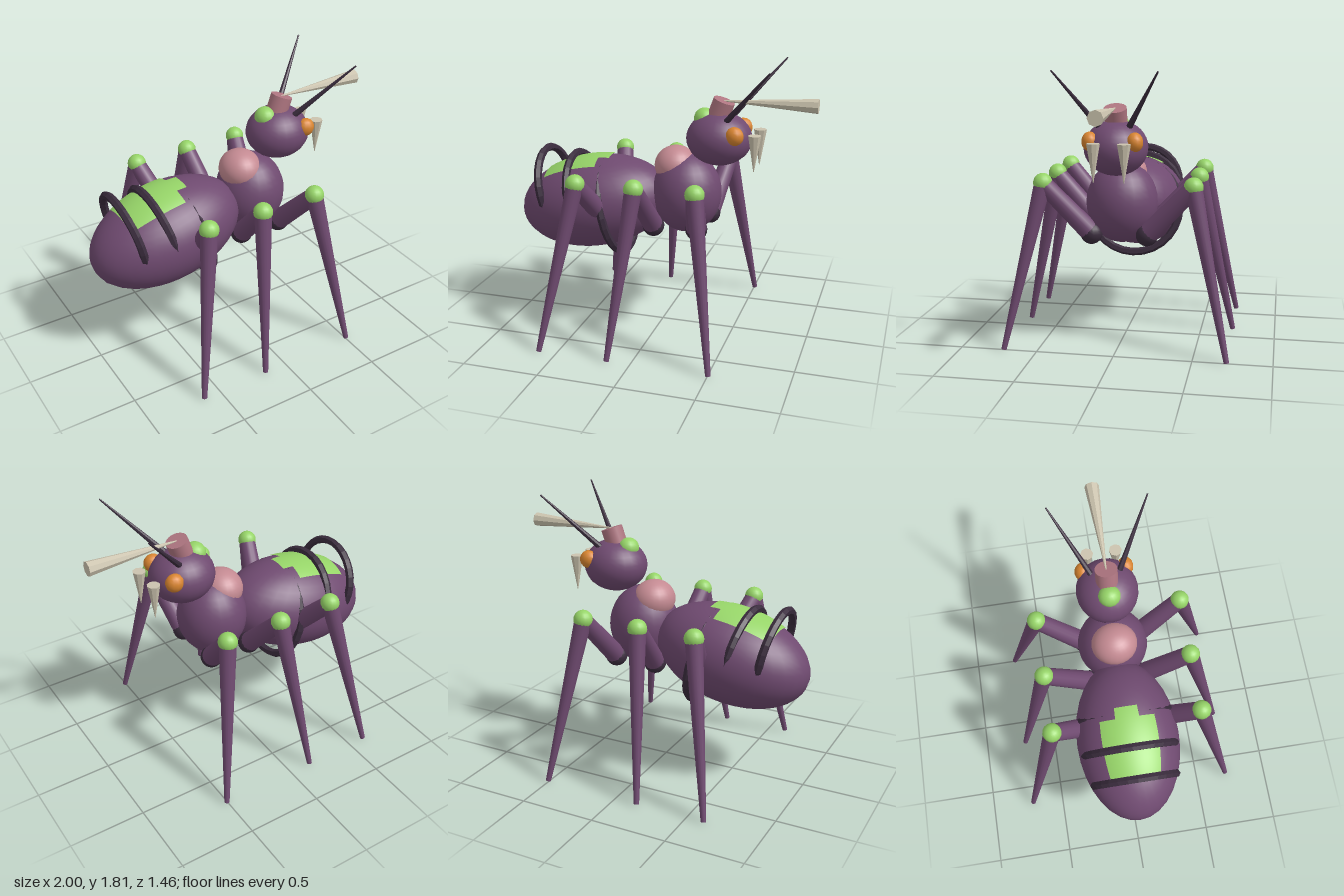
import * as THREE from 'three';

const mat = (name, color, flatShading = false) => {
  const m = new THREE.MeshStandardMaterial({ color, flatShading });
  m.name = name;
  return m;
};

export function createModel() {
  const purple = mat('purple shell', 0x6f4a70);
  const dark = mat('dark chitin', 0x3b2d3e, true);
  const green = mat('lime green', 0x96d468);
  const orange = mat('amber eye', 0xd98530);
  const bone = mat('bone', 0xcbc3ae, true);
  const pink = mat('pink plate', 0xc48a92);
  const mauve = mat('mauve horn base', 0xaf7681);

  const model = new THREE.Group();
  model.name = 'insect';
  const UP = new THREE.Vector3(0, 1, 0);

  const add = (name, geo, material, parent = model) => {
    const m = new THREE.Mesh(geo, material);
    m.name = name;
    parent.add(m);
    return m;
  };
  const ellipsoid = (name, material, pos, radii, parent = model, seg = 24) => {
    const m = add(name, new THREE.SphereGeometry(1, seg, Math.round(seg * 0.75)), material, parent);
    m.position.set(...pos);
    m.scale.set(...radii);
    return m;
  };
  // Tapered rod from point a (radius ra) to point b (radius rb)
  const rod = (name, material, a, b, ra, rb, seg = 16, parent = model) => {
    const p = new THREE.Vector3(...a), q = new THREE.Vector3(...b);
    const d = q.clone().sub(p);
    const m = add(name, new THREE.CylinderGeometry(rb, ra, d.length(), seg), material, parent);
    m.position.copy(p).add(q).multiplyScalar(0.5);
    m.quaternion.setFromUnitVectors(UP, d.normalize());
    return m;
  };

  // Abdomen, tilted up towards the thorax
  const tilt = 0.213;
  const abdomen = new THREE.Group();
  abdomen.name = 'abdomen';
  abdomen.position.set(-0.48, 0.82, 0);
  abdomen.rotation.z = tilt;
  model.add(abdomen);
  const radii = [0.528, 0.312, 0.336];
  ellipsoid('abdomenShell', purple, [0, 0, 0], radii, abdomen, 32);

  // Green back patch: thin sections of the abdomen surface
  for (const [half, t0, t1] of [[0.55, 1.05, 1.8], [0.23, 1.8, 1.94]]) {
    const g = new THREE.SphereGeometry(1, 16, 12, Math.PI - half, 2 * half, t0, t1 - t0);
    g.rotateZ(Math.PI / 2);
    const m = add('backPatch', g, green, abdomen);
    m.scale.set(...radii.map((r) => r + 0.007));
  }

  // Rings around the abdomen: centre x, centre y, radius
  for (const [x, y, r] of [[-0.32, 0.805, 0.32], [-0.555, 0.845, 0.3], [-0.77, 0.9, 0.265]]) {
    const ring = add('abdomenRing', new THREE.TorusGeometry(r, 0.027, 6, 28), dark);
    ring.position.set(x, y, 0);
    ring.rotation.set(0, Math.PI / 2, 0);
    ring.rotation.order = 'ZYX';
    ring.rotation.z = tilt;
  }

  // Thorax and its pink plate
  ellipsoid('thorax', purple, [0.165, 0.935, 0], [0.23, 0.265, 0.232]);
  ellipsoid('thoraxPlate', pink, [0.09, 1.115, 0], [0.14, 0.13, 0.15]);

  // Head with crest and horn
  ellipsoid('head', purple, [0.377, 1.315, 0], [0.213, 0.173, 0.2]);
  ellipsoid('headCrest', green, [0.28, 1.44, 0], [0.07, 0.068, 0.073], model, 16);
  rod('hornBase', mauve, [0.345, 1.392, 0], [0.406, 1.562, 0], 0.071, 0.071, 20);
  rod('horn', bone, [1, 1.56, 0], [0.39, 1.56, 0], 0.047, 0.003, 8);

  for (const s of [1, -1]) {
    // Face details
    ellipsoid('eye', orange, [0.505, 1.367, s * 0.138], [0.06, 0.06, 0.052], model, 12);
    rod('antenna', dark, [0.44, 1.445, s * 0.09], [0.747, 1.803, s * 0.31], 0.02, 0.005, 8);
    rod('mandible', bone, [0.625, 1.37, s * 0.093], [0.625, 1.135, s * 0.093], 0.042, 0.002, 8);

    // Legs: hip x, knee x, foot x
    for (const [hx, kx, fx] of [[0.28, 0.345, 0.505], [-0.01, -0.045, -0.155], [-0.33, -0.43, -0.617]]) {
      const leg = new THREE.Group();
      leg.name = 'leg';
      model.add(leg);
      const hip = [hx, 0.745, s * 0.18], knee = [kx, 1.07, s * 0.48], foot = [fx, 0.004, s * 0.715];
      const joint = ellipsoid('hip', dark, hip, [0.072, 0.072, 0.072], leg, 16);
      joint.material = darkSmooth(dark);
      rod('upperLeg', purple, hip, knee, 0.067, 0.056, 16, leg);
      ellipsoid('knee', green, [kx, 1.075, s * 0.48], [0.062, 0.062, 0.062], leg, 16);
      rod('lowerLeg', purple, knee, foot, 0.056, 0.017, 16, leg);
    }
  }
  return model;
}

// Smooth-shaded partner of the dark material, shared by all hips
let smooth;
function darkSmooth(base) {
  if (!smooth) {
    smooth = base.clone();
    smooth.flatShading = false;
    smooth.name = 'dark chitin smooth';
  }
  return smooth;
}
